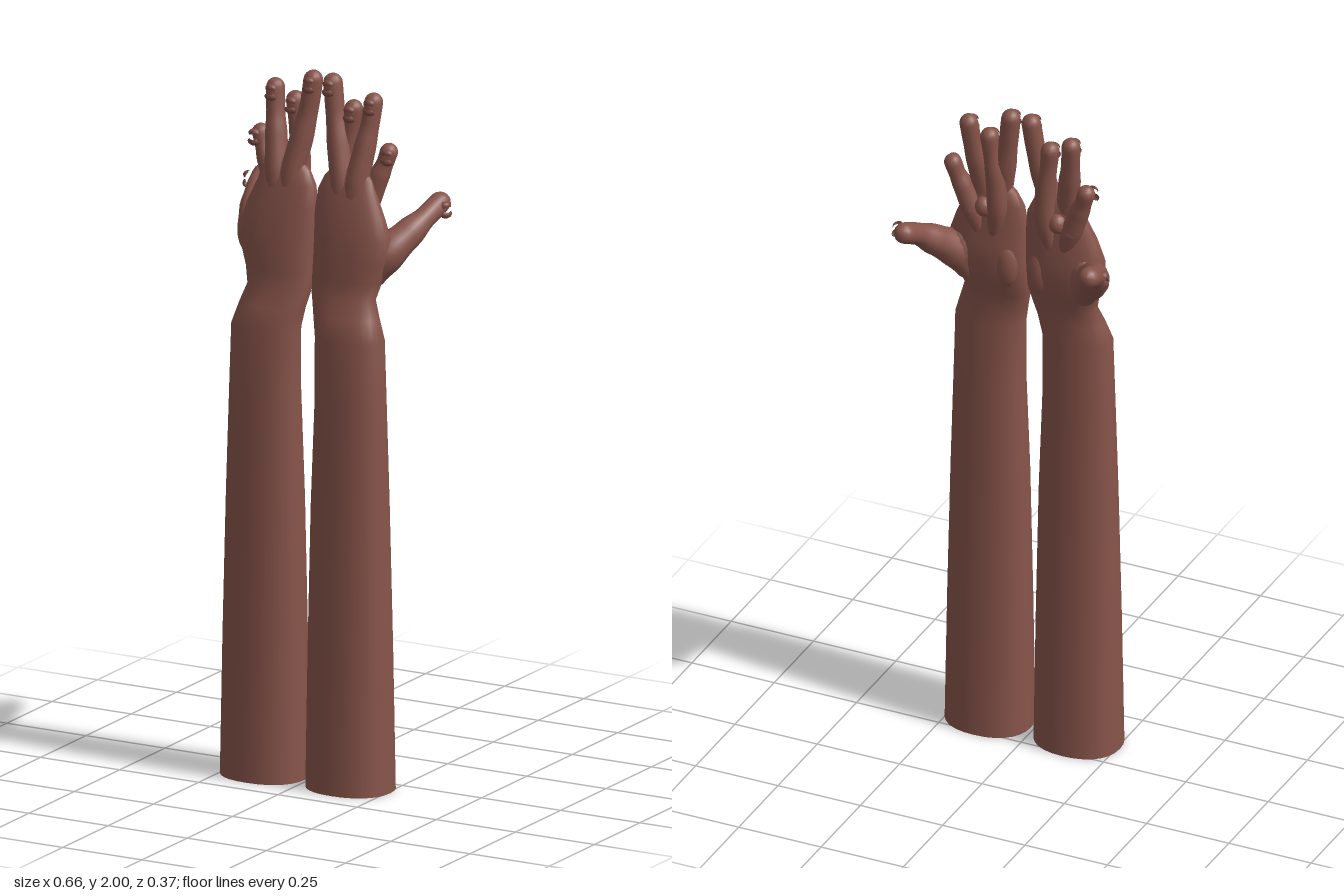
import * as THREE from 'three';

const skin = new THREE.MeshStandardMaterial({ color: 0x87544a });
skin.name = 'brown skin';
const nailSkin = new THREE.MeshStandardMaterial({ color: 0x7a4a41, side: THREE.DoubleSide });
nailSkin.name = 'brown nail';

// Skin a list of rings { c, rx, rz, t } with a closed, smooth surface.
function loft(rings, power, sides) {
  const pos = [], idx = [];
  const squash = v => Math.sign(v) * Math.pow(Math.abs(v), power);
  for (const { c, rx, rz, t } of rings) {
    const right = new THREE.Vector3(1, 0, 0).addScaledVector(t, -t.x).normalize();
    const front = right.clone().cross(t);
    for (let i = 0; i < sides; i++) {
      const a = (i / sides) * Math.PI * 2;
      const p = c.clone()
        .addScaledVector(right, squash(Math.cos(a)) * rx)
        .addScaledVector(front, squash(Math.sin(a)) * rz);
      pos.push(p.x, p.y, p.z);
    }
  }
  for (let j = 0; j < rings.length - 1; j++) {
    for (let i = 0; i < sides; i++) {
      const a = j * sides + i, b = j * sides + (i + 1) % sides;
      idx.push(a, a + sides, b, b, a + sides, b + sides);
    }
  }
  const geo = new THREE.BufferGeometry();
  geo.setAttribute('position', new THREE.Float32BufferAttribute(pos, 3));
  geo.setIndex(idx);
  geo.computeVertexNormals();
  return geo;
}

// Arm and palm sections: y, inner x, outer x, back z, front z
const armSections = [
  [0.00, 0.010, 0.260, -0.020, 0.190],
  [0.40, 0.015, 0.254, -0.010, 0.180],
  [0.80, 0.022, 0.246, 0.002, 0.168],
  [1.10, 0.032, 0.238, 0.012, 0.157],
  [1.28, 0.030, 0.234, 0.020, 0.148],
  [1.34, 0.018, 0.215, 0.022, 0.130],
  [1.39, 0.005, 0.198, 0.018, 0.110],
  [1.44, 0.000, 0.210, -0.005, 0.105],
  [1.50, 0.000, 0.230, -0.016, 0.102],
  [1.56, 0.000, 0.232, -0.014, 0.094],
  [1.62, 0.000, 0.212, -0.006, 0.083],
  [1.68, 0.006, 0.185, -0.004, 0.069],
  [1.72, 0.025, 0.172, 0.002, 0.057],
  [1.75, 0.055, 0.145, 0.016, 0.044],
];

function armGeometry(s) {
  const up = new THREE.Vector3(0, 1, 0);
  const rings = armSections.map(([y, x0, x1, z0, z1]) => ({
    c: new THREE.Vector3(s * (x0 + x1) / 2, y, (z0 + z1) / 2),
    rx: (x1 - x0) / 2, rz: (z1 - z0) / 2, t: up,
  }));
  const first = rings[0], last = rings[rings.length - 1];
  return loft([{ ...first, rx: 0, rz: 0 }, { ...first }, ...rings, { ...last, rx: 0, rz: 0 }], 0.88, 28);
}

// Finger paths: x, y, z, radius
const fingers = {
  littleFinger: [[0.095, 1.56, 0.045, 0.02], [0.08, 1.70, 0.036, 0.033], [0.06, 1.80, 0.018, 0.033],
    [0.042, 1.89, 0.006, 0.027], [0.031, 1.973, 0.0, 0.027]],
  ringFinger: [[0.09, 1.57, 0.015, 0.02], [0.073, 1.68, 0.0, 0.029], [0.076, 1.78, -0.004, 0.028],
    [0.086, 1.85, -0.006, 0.024], [0.092, 1.905, -0.008, 0.026]],
  middleFinger: [[0.11, 1.56, 0.045, 0.02], [0.125, 1.70, 0.036, 0.034], [0.139, 1.80, 0.016, 0.031],
    [0.149, 1.87, 0.002, 0.026], [0.155, 1.933, -0.008, 0.026]],
  indexFinger: [[0.12, 1.57, 0.015, 0.02], [0.152, 1.66, 0.006, 0.031], [0.176, 1.725, 0.0, 0.029],
    [0.192, 1.765, -0.006, 0.024], [0.202, 1.797, -0.01, 0.025]],
  thumb: [[0.17, 1.45, 0.035, 0.04], [0.205, 1.51, 0.01, 0.052], [0.242, 1.56, -0.045, 0.043],
    [0.268, 1.60, -0.10, 0.031], [0.28, 1.628, -0.155, 0.03]],
};

function fingerGeometry(points, s) {
  const curve = new THREE.CatmullRomCurve3(points.map(p => new THREE.Vector3(s * p[0], p[1], p[2])));
  const rings = [], steps = 20, n = points.length - 1;
  for (let i = 0; i <= steps; i++) {
    const u = i / steps, k = Math.min(n - 1, Math.floor(u * n));
    const f = THREE.MathUtils.smoothstep(u * n - k, 0, 1);
    const r = THREE.MathUtils.lerp(points[k][3], points[k + 1][3], f);
    rings.push({ c: curve.getPoint(u), rx: r, rz: r, t: curve.getTangent(u) });
  }
  // Rounded tip
  const end = rings[steps];
  for (let i = 1; i <= 5; i++) {
    const a = (i / 5) * Math.PI / 2, r = end.rx * Math.cos(a);
    rings.push({ c: end.c.clone().addScaledVector(end.t, end.rx * Math.sin(a)), rx: r, rz: r, t: end.t });
  }
  return loft(rings, 1, 14);
}

// Curved flakes forming one small, ragged nail, facing +z
function nail(name) {
  const g = new THREE.Group();
  g.name = name;
  const shell = new THREE.SphereGeometry(0.02, 8, 4, Math.PI * 0.15, Math.PI * 0.7, Math.PI * 0.2, Math.PI * 0.5);
  for (const [y, z, tilt, w] of [[0.012, 0, -0.5, 0.9], [-0.008, 0.002, 0.5, 1]]) {
    const flake = new THREE.Mesh(shell, nailSkin);
    flake.name = 'nailFlake';
    flake.position.set(0, y, z);
    flake.rotation.x = tilt;
    flake.scale.set(w, 0.65, 0.8);
    g.add(flake);
  }
  return g;
}

export function createModel() {
  const model = new THREE.Group();
  model.name = 'raisedArms';
  for (const [s, side] of [[1, 'left'], [-1, 'right']]) {
    const arm = new THREE.Group();
    arm.name = side + 'Arm';
    const add = (geo, name) => {
      const m = new THREE.Mesh(geo, skin);
      m.name = name;
      arm.add(m);
      return m;
    };
    add(armGeometry(s), 'forearmAndPalm');
    for (const [name, pts] of Object.entries(fingers)) {
      add(fingerGeometry(pts, s), name);
      const [x, y, z, r] = pts[pts.length - 1];
      const n = nail(name + 'Nail');
      if (name === 'thumb') {
        n.position.set(s * (x + 0.03), y - 0.012, z + 0.025);
        n.rotation.y = s * 1.15;
      } else {
        n.position.set(s * (x + (name === 'indexFinger' ? 0.008 : 0)), y - 0.012, z + r - 0.004);
      }
      arm.add(n);
    }
    // Heel of the thumb and pads where the fingers meet the palm
    const pads = [[0.185, 1.51, 0.012, 0.042, 0.07, 0.036], [0.05, 1.5, 0.01, 0.035, 0.07, 0.026],
      [0.072, 1.67, 0, 0.026, 0.03, 0.026], [0.112, 1.675, 0, 0.026, 0.03, 0.028], [0.152, 1.66, 0, 0.026, 0.03, 0.026]];
    for (const [x, y, z, a, b, c] of pads) {
      const pad = add(new THREE.SphereGeometry(1, 14, 10), 'palmPad');
      pad.position.set(s * x, y, z);
      pad.scale.set(a, b, c);
    }
    model.add(arm);
  }
  return model;
}
